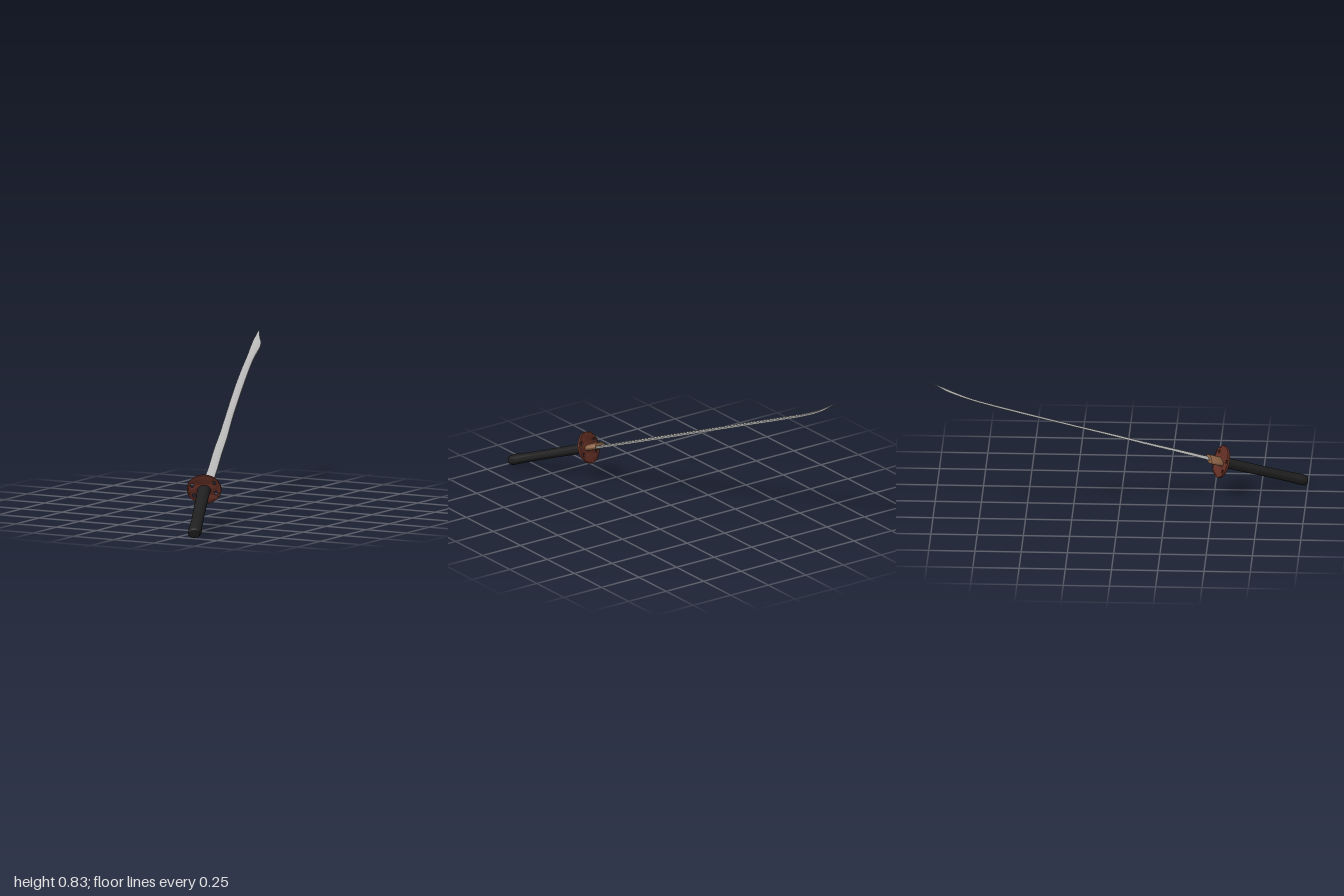
import * as THREE from 'three';
import { toCreasedNormals } from 'three/addons/utils/BufferGeometryUtils.js';

const mat = (name, color) => {
  const m = new THREE.MeshStandardMaterial({ color });
  m.name = name;
  return m;
};

function add(parent, name, geometry, material) {
  const mesh = new THREE.Mesh(geometry, material);
  mesh.name = name;
  parent.add(mesh);
  return mesh;
}

// Flat oval outline, optionally with oval holes
function oval(rx, ry, holes = []) {
  const s = new THREE.Shape();
  s.absellipse(0, 0, rx, ry, 0, Math.PI * 2);
  for (const [x, y, a, b] of holes) {
    const h = new THREE.Path();
    h.absellipse(x, y, a, b, 0, Math.PI * 2, true);
    s.holes.push(h);
  }
  return s;
}

function plate(shape, depth, bevel) {
  const g = new THREE.ExtrudeGeometry(shape, {
    depth: depth - 2 * bevel, curveSegments: 32, bevelThickness: bevel,
    bevelSize: bevel, bevelOffset: -bevel, bevelSegments: 2,
  });
  g.translate(0, 0, -depth / 2 + bevel);
  return toCreasedNormals(g, 0.7);
}

// Curved blade lofted from five-sided sections: sharp edge, two ridges, flat spine
function bladeGeometry() {
  // [distance along, edge x, spine x, edge lift, spine lift]
  const keys = [
    [0.5, 0.118, 0.18, 0, -0.006], [0.35, 0.07, 0.126, 0, -0.008], [0.14, -0.01, 0.044, 0, -0.01],
    [0, -0.058, -0.007, 0, -0.01], [-0.2, -0.132, -0.087, 0, -0.01], [-0.475, -0.234, -0.188, 0, -0.01],
    [-0.675, -0.302, -0.258, 0, -0.01], [-0.8, -0.34, -0.297, 0.002, -0.008],
    [-0.92, -0.375, -0.322, 0.014, 0.004], [-0.96, -0.38, -0.352, 0.024, 0.018],
    [-1, -0.382, -0.379, 0.035, 0.034],
  ];
  const toPoint = (x, z, lift) => new THREE.Vector3(x, lift * 0.932, z * 1.0726 - lift * 0.362);
  const edge = new THREE.CatmullRomCurve3(keys.map(k => toPoint(k[1], k[0], k[3])));
  const spine = new THREE.CatmullRomCurve3(keys.map(k => toPoint(k[2], k[0], k[4])));
  const profile = [[0, 0], [0.68, 0.006], [1, 0.004], [1, -0.004], [0.68, -0.006]];
  const n = profile.length, steps = 60, pos = [], index = [];
  for (let i = 0; i <= steps; i++) {
    const t = i / steps, a = edge.getPoint(t), b = spine.getPoint(t);
    const thin = Math.min(1, (1 - t) * 6 + 0.1);
    for (const [f, h] of profile) {
      const p = a.clone().lerp(b, f);
      pos.push(p.x, p.y + h * thin, p.z);
    }
    if (i === steps) break;
    for (let j = 0; j < n; j++) {
      const p = i * n + j, q = i * n + (j + 1) % n;
      index.push(p, q, p + n, q, q + n, p + n);
    }
  }
  // End caps
  const e = steps * n;
  for (let j = 1; j < n - 1; j++) {
    index.push(0, j + 1, j, e, e + j, e + j + 1);
  }
  const g = new THREE.BufferGeometry();
  g.setAttribute('position', new THREE.Float32BufferAttribute(pos, 3));
  g.setIndex(index);
  return toCreasedNormals(g, 0.25);
}

export function createModel() {
  const steel = mat('steel', 0xb4b4b4);
  const copper = mat('red brown guard', 0x653025);
  const bronze = mat('collar bronze', 0x8a6144);
  const black = mat('black grip', 0x1f1f1f);

  const model = new THREE.Group();
  model.name = 'sword';

  // The whole sword lies in one sloping plane
  const sword = new THREE.Group();
  sword.name = 'slopedSword';
  sword.position.y = 0.412;
  sword.rotation.x = Math.atan(0.388);
  model.add(sword);

  add(sword, 'blade', bladeGeometry(), steel);

  // Hilt: local z runs from the guard to the end of the grip
  const hilt = new THREE.Group();
  hilt.name = 'hilt';
  hilt.position.set(0.157, 0, 0.579);
  hilt.rotation.y = 0.385;
  sword.add(hilt);

  // Pierced oval guard with a slightly raised rim
  const holes = [];
  for (const sx of [-1, 1]) for (const sy of [-1, 1]) holes.push([sx * 0.061, sy * 0.031, 0.009, 0.011]);
  add(hilt, 'guard', plate(oval(0.092, 0.085, holes), 0.01, 0.002), copper);
  add(hilt, 'guardRim', plate(oval(0.094, 0.087, [[0, 0, 0.085, 0.078]]), 0.014, 0.003), copper);

  // Collar at the root of the blade
  const collar = add(hilt, 'collar', plate(oval(0.046, 0.018), 0.072, 0.003), bronze);
  collar.position.z = -0.04;

  // Oval grip with a gentle waist and a rounded, flared end
  const grip = [
    [0, 0.003], [0.034, 0.003], [0.037, 0.01], [0.037, 0.03], [0.0355, 0.06], [0.0345, 0.15],
    [0.0335, 0.25], [0.0335, 0.35], [0.0345, 0.44], [0.037, 0.465], [0.0375, 0.495],
    [0.035, 0.511], [0.029, 0.519], [0, 0.521],
  ].map(p => new THREE.Vector2(...p));
  const gripGeometry = new THREE.LatheGeometry(grip, 28);
  gripGeometry.rotateX(Math.PI / 2);
  gripGeometry.scale(1, 0.76, 1);
  add(hilt, 'grip', toCreasedNormals(gripGeometry, 0.7), black);

  return model;
}
